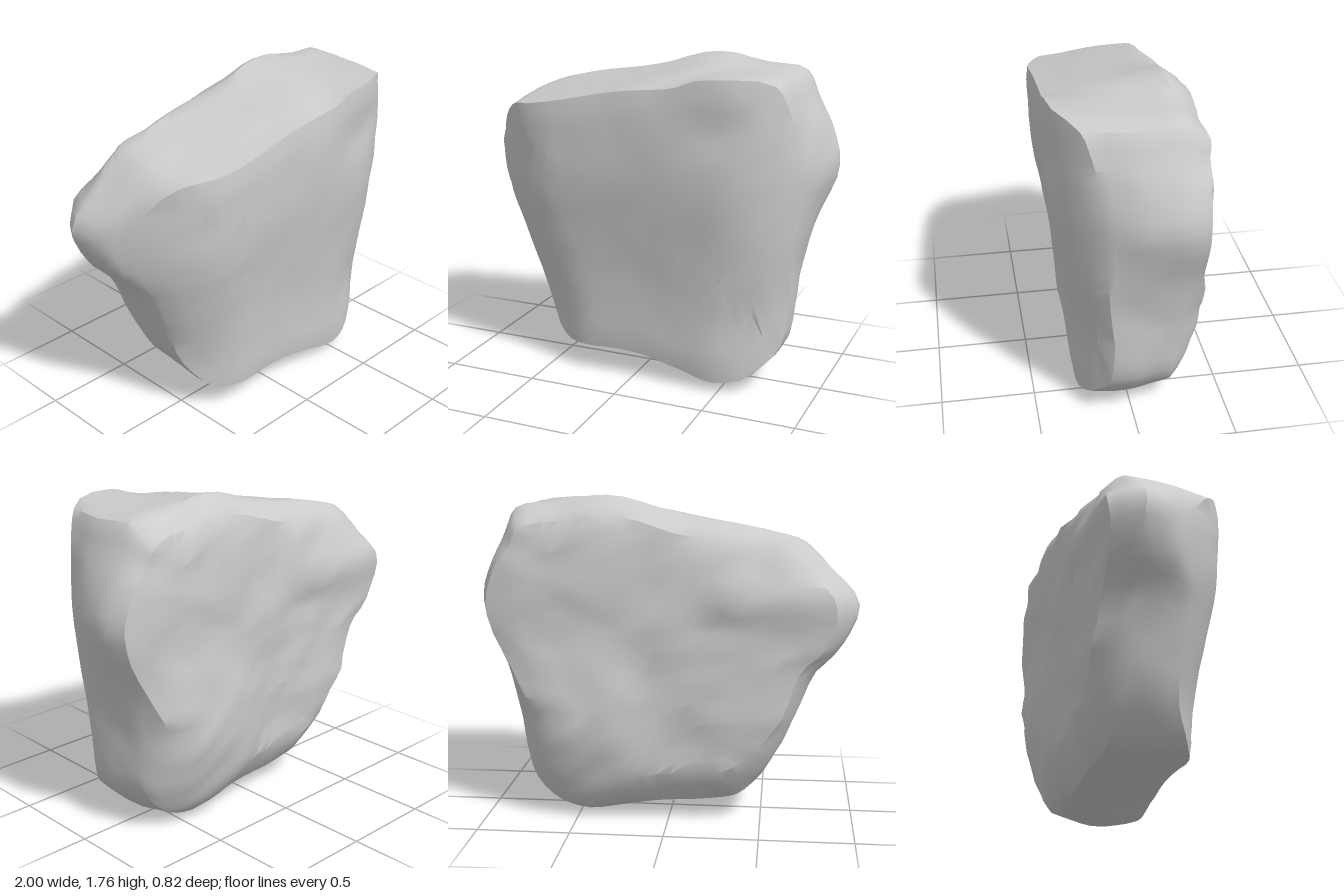
import * as THREE from 'three';
import { mergeVertices, toCreasedNormals } from 'three/addons/utils/BufferGeometryUtils.js';

// Matching outlines (x, y), anticlockwise from the +x side
const WIDE = [[1, 1.21], [.94, 1.43], [.87, 1.57], [.8, 1.7], [.55, 1.73], [.28, 1.77], [0, 1.69],
  [-.3, 1.64], [-.55, 1.59], [-.7, 1.53], [-.85, 1.4], [-1, 1.22], [-.93, 1], [-.79, .85], [-.68, .6],
  [-.56, .34], [-.41, .17], [-.28, .13], [0, .11], [.25, .07], [.47, .05], [.61, .1], [.74, .27],
  [.78, .5], [.82, .7], [.91, .95]];
const FRONT = [[.88, 1.2], [.86, 1.43], [.83, 1.57], [.76, 1.69], [.42, 1.71], [.27, 1.66], [0, 1.63],
  [-.3, 1.57], [-.55, 1.52], [-.7, 1.49], [-.8, 1.38], [-.88, 1.2], [-.84, 1], [-.76, .85], [-.67, .6],
  [-.57, .33], [-.43, .17], [-.3, .16], [0, .16], [.25, .11], [.46, .06], [.63, .1], [.79, .25],
  [.83, .5], [.84, .7], [.87, .95]];
const CENTRE = [0.05, 0.92];

const smooth = THREE.MathUtils.smoothstep;
const lerp = THREE.MathUtils.lerp;
const bump = (x, y, cx, cy, rx, ry) => Math.exp(-(((x - cx) / rx) ** 2) - ((y - cy) / ry) ** 2);
const closedCurve = outline => new THREE.CatmullRomCurve3(
  outline.map(([x, y]) => new THREE.Vector3(x, y, 0)), true, 'centripetal');

// Repeatable value noise in -1..1
function hash(x, y, z) {
  const n = Math.sin(x * 127.1 + y * 311.7 + z * 74.7) * 43758.5453;
  return (n - Math.floor(n)) * 2 - 1;
}
function noise(x, y, z) {
  const X = Math.floor(x), Y = Math.floor(y), Z = Math.floor(z);
  const u = x - X, v = y - Y, w = z - Z;
  const row = (b, c) => lerp(hash(X, b, c), hash(X + 1, b, c), u);
  const layer = c => lerp(row(Y, c), row(Y + 1, c), v);
  return lerp(layer(Z), layer(Z + 1), w);
}

// Front face: leans outwards at the top, rounds off at both ends, has two chipped hollows
function frontDepth(x, y) {
  const lean = 0.29 + 0.12 * smooth(y, 0.25, 1.45);
  const leftStart = -0.4 + 0.18 * (1 - smooth(y, 0.2, 1.1));
  const ends = 1.35 * Math.max(0, leftStart - x) ** 2 + 1.15 * Math.max(0, x - 0.45) ** 2;
  const chips = 0.04 * bump(x, y, 0.5, 1.46, 0.15, 0.13) + 0.03 * bump(x, y, 0.6, 0.42, 0.14, 0.14);
  return lean - ends - chips;
}

// Back face: a low lump beside a hollow, a shelf near the top, and a cut-back top corner
function backDepth(x, y) {
  const lump = 0.05 * bump(x, y, 0.42, 0.62, 0.22, 0.28);
  const hollow = 0.045 * bump(x, y, -0.02, 0.47, 0.16, 0.2);
  const shelf = 0.03 * bump(x, y, 0.5, 1.3, 0.25, 0.2) + 0.03 * bump(x, y, -0.45, 1.25, 0.35, 0.16);
  const topCut = 0.05 * smooth(-x, 0.2, 0.6) * smooth(y, 1.25, 1.5);
  return -0.355 - lump + hollow - shelf + topCut;
}

// Back rim: pulled in from the widest loop, raised at the bottom and lowered at the top
function backRim({ x, y }) {
  const pull = x > 0 ? 0.96 - 0.12 * (1 - smooth(y, 0.4, 1)) : 0.89;
  return [x * pull, y + 0.19 * (1 - smooth(y, 0.1, 0.7)) - 0.09 * smooth(y, 1.2, 1.7)];
}

// Position from 0 to 1 around a square, anticlockwise from the middle of its +u side
function aroundSquare(u, v, r) {
  if (r < 1e-6) return 0;
  const a = u / r, b = v / r;
  if (a > 0.9999) return ((b + 8) % 8) / 8;
  if (b > 0.9999) return (2 - a) / 8;
  if (a < -0.9999) return (4 - b) / 8;
  return (6 + a) / 8;
}

function rockGeometry() {
  const frontCurve = closedCurve(FRONT), wideCurve = closedCurve(WIDE);

  // Maps a point of a cube to the rock: [x, y, z, roughness]
  function place(u, v, w) {
    const r = Math.max(Math.abs(u), Math.abs(v));
    const around = aroundSquare(u, v, r);
    const f = frontCurve.getPoint(around), wide = wideCurve.getPoint(around);
    const [bx, by] = backRim(wide);
    const t = (1 - w) / 2;
    if (t < 0.001) {
      // Front face
      const x = lerp(CENTRE[0], f.x, r), y = lerp(CENTRE[1], f.y, r);
      return [x, y, frontDepth(x, y) - 0.015 * smooth(r, 0.85, 1), 0.012];
    }
    if (t > 0.999) {
      // Back face
      const x = lerp(CENTRE[0], bx, r), y = lerp(CENTRE[1], by, r);
      return [x, y, backDepth(x, y) + 0.02 * smooth(r, 0.85, 1), 0.04];
    }
    if (t < 0.751) {
      // Walls from the front rim to the widest loop, sagging to the foot
      const k = t / 0.75, s = k ** 0.9;
      const sag = 0.05 * Math.sin(Math.PI * k) * bump(f.x, f.y, 0.45, 0.05, 0.3, 0.15);
      const swell = 0.02 * Math.sin(Math.PI * k) * Math.sign(f.x) * smooth(Math.abs(f.x), 0.5, 0.8);
      return [lerp(f.x, wide.x, s) + swell, lerp(f.y, wide.y, s) - sag,
        lerp(frontDepth(f.x, f.y) - 0.015, -0.2, k), 0.024];
    }
    // Shoulder from the widest loop to the back rim
    const k = (t - 0.75) / 0.25, s = k ** 1.4;
    return [lerp(wide.x, bx, s), lerp(wide.y, by, s), lerp(-0.2, backDepth(bx, by) + 0.02, k), 0.028];
  }

  const box = new THREE.BoxGeometry(2, 2, 2, 20, 20, 12);
  box.deleteAttribute('normal');
  box.deleteAttribute('uv');
  const geometry = mergeVertices(box);
  const position = geometry.attributes.position;
  for (let i = 0; i < position.count; i++) {
    const [x, y, z, rough] = place(position.getX(i), position.getY(i), position.getZ(i));
    // Roughen by position
    const shift = k => rough * (0.55 * noise(x * 4.5 + k, y * 4.5, z * 4.5) + 0.5 * noise(x * 10, y * 10 + k, z * 10));
    position.setXYZ(i, x + shift(3) * 0.6, y + shift(17) * 0.6, z + shift(41));
  }

  // Stand on the ground, centred
  geometry.computeBoundingBox();
  const { min, max } = geometry.boundingBox;
  geometry.translate(-(min.x + max.x) / 2, -min.y, -(min.z + max.z) / 2);
  return toCreasedNormals(geometry, 0.6);
}

export function createModel() {
  const group = new THREE.Group();
  group.name = 'rock';
  const slab = new THREE.Mesh(rockGeometry(), new THREE.MeshStandardMaterial({ color: 0xcccccc }));
  slab.name = 'rockSlab';
  group.add(slab);
  return group;
}
